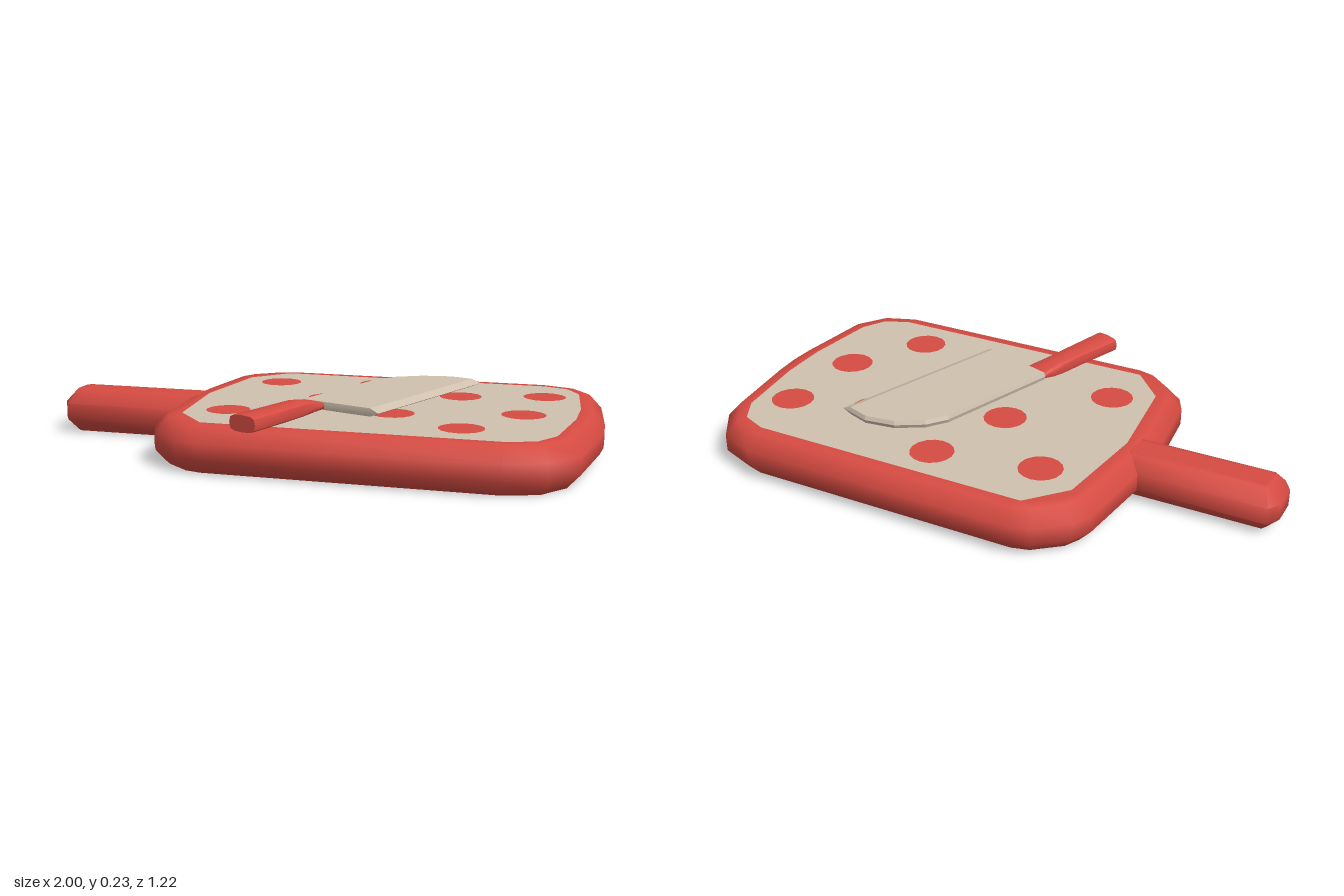
import * as THREE from 'three';
import { toCreasedNormals } from 'three/addons/utils/BufferGeometryUtils.js';

const red = new THREE.MeshStandardMaterial({ name: 'red', color: 0xd64b42 });
const cream = new THREE.MeshStandardMaterial({ name: 'cream', color: 0xd0c1af });

const MID_Z = -0.0425; // the board's own line of symmetry

// Shrinks a convex [x, z] outline, with one amount per edge
function inset(points, amount) {
  const n = points.length;
  const sign = Math.sign(THREE.ShapeUtils.area(points.map(([x, z]) => new THREE.Vector2(x, z))));
  const edges = points.map((p, i) => {
    const q = points[(i + 1) % n];
    const len = Math.hypot(q[0] - p[0], q[1] - p[1]);
    const nx = (-(q[1] - p[1]) / len) * sign;
    const nz = ((q[0] - p[0]) / len) * sign;
    const d = typeof amount === 'number' ? amount : amount[i];
    return { nx, nz, c: nx * p[0] + nz * p[1] + d };
  });
  return points.map((_, i) => {
    const a = edges[(i + n - 1) % n];
    const b = edges[i];
    const det = a.nx * b.nz - a.nz * b.nx;
    return [(a.c * b.nz - b.c * a.nz) / det, (a.nx * b.c - b.nx * a.c) / det];
  });
}

// Joins rings of [x, y, z] points into a closed solid with flat end caps
function loft(rings, crease) {
  const n = rings[0].length;
  const tris = [];
  const quad = (a, b, c, d) => tris.push([a, b, c], [a, c, d]);
  for (let r = 0; r + 1 < rings.length; r++) {
    for (let i = 0; i < n; i++) {
      const j = (i + 1) % n;
      quad(rings[r][i], rings[r][j], rings[r + 1][j], rings[r + 1][i]);
    }
  }
  const last = rings[rings.length - 1];
  for (let i = 1; i + 1 < n; i++) {
    tris.push([rings[0][0], rings[0][i + 1], rings[0][i]]);
    tris.push([last[0], last[i], last[i + 1]]);
  }
  // Turn the solid the right way out if its volume is negative
  let volume = 0;
  for (const t of tris) {
    const [a, b, c] = t.map((p) => new THREE.Vector3(...p));
    volume += a.dot(b.cross(c));
  }
  if (volume < 0) tris.forEach((t) => t.reverse());
  const geometry = new THREE.BufferGeometry();
  geometry.setAttribute('position', new THREE.Float32BufferAttribute(tris.flat(2), 3));
  return toCreasedNormals(geometry, crease);
}

const atHeight = (points, y) => points.map(([x, z]) => [x, y, z]);

// Slab with rounded-over edges; the inner rings keep the large faces flat
function slab(outline, inner) {
  const layers = [
    [inner, 0], [0.045, 0], [0, 0.05], [0, 0.11], [0.045, 0.16], [inner, 0.16],
  ];
  return loft(layers.map(([d, y]) => atHeight(d ? inset(outline, d) : outline, y)), 1.05);
}

// Completes an outline given for the back half by reflecting it to the front
function mirrorZ(half) {
  const front = half.filter(([, z]) => z !== MID_Z).map(([x, z]) => [x, 2 * MID_Z - z]).reverse();
  return [...half, ...front];
}

function plate(points, y) {
  const shape = new THREE.Shape(points.map(([x, z]) => new THREE.Vector2(x, -z)));
  return new THREE.ShapeGeometry(shape).rotateX(-Math.PI / 2).translate(0, y, 0);
}

export function createModel() {
  const model = new THREE.Group();
  model.name = 'cuttingBoardWithKnife';
  const add = (parent, name, geometry, material) => {
    const mesh = new THREE.Mesh(geometry, material);
    mesh.name = name;
    parent.add(mesh);
    return mesh;
  };

  // Board body and its grip
  const board = new THREE.Group();
  board.name = 'board';
  model.add(board);
  const boardOutline = mirrorZ([
    [-0.518, -0.14], [-0.485, -0.44], [-0.45, -0.51], [-0.345, -0.595], [-0.27, -0.615],
    [0.74, -0.615], [0.875, -0.565], [0.96, -0.44], [0.995, -0.14], [1, MID_Z],
  ]);
  add(board, 'boardBody', slab(boardOutline, 0.08), red);
  const gripOutline = mirrorZ([[-1, -0.09], [-0.97, -0.14], [-0.42, -0.14]]);
  add(board, 'boardGrip', slab(gripOutline, 0.06), red);

  // Cutting surface with round spots
  const panelOutline = mirrorZ([
    [-0.437, MID_Z], [-0.397, -0.4], [-0.28, -0.532], [0.74, -0.532],
    [0.83, -0.495], [0.88, -0.405], [0.912, -0.13],
  ]);
  add(board, 'cuttingSurface', plate(panelOutline, 0.162), cream);
  const spots = [
    [-0.25, -0.33], [0.125, -0.4], [0.765, -0.31], [0.015, -0.08], [0.735, 0.03],
    [-0.26, 0.23], [0.57, 0.3], [0.47, -0.235], [0.3, 0.13],
  ];
  for (const [x, z] of spots) {
    add(board, 'spot', new THREE.CircleGeometry(0.077, 16).rotateX(-Math.PI / 2).translate(x, 0.164, z), red);
  }

  // Knife blade, ground to an edge along its straight side
  const knife = new THREE.Group();
  knife.name = 'knife';
  model.add(knife);
  const bladeOutline = [
    [0, 0.21], [0.295, 0.312], [0.525, -0.335], [0.41, -0.375],
    [0.3, -0.36], [0.205, -0.305], [0.155, -0.24],
  ];
  const bladeFace = inset(bladeOutline, [0.002, 0.033, 0.006, 0.006, 0.006, 0.006, 0.004]);
  add(knife, 'blade', loft([
    atHeight(bladeFace, 0.184), atHeight(bladeOutline, 0.198), atHeight(bladeFace, 0.212),
  ], 0.3), cream);

  // Knife handle: rounded sections thinning towards the blade
  const section = ([x, z, halfWidth, halfHeight]) => {
    const ring = [];
    for (let i = 0; i < 12; i++) {
      const a = (i / 12) * Math.PI * 2;
      const c = Math.cos(a);
      const s = Math.sin(a);
      const across = Math.sign(c) * Math.abs(c) ** 0.6 * halfWidth;
      ring.push([x + across * 0.94, 0.198 + Math.sign(s) * Math.abs(s) ** 0.6 * halfHeight, z + across * 0.34]);
    }
    return ring;
  };
  add(knife, 'knifeHandle', loft([
    [-0.08, 0.586, 0.053, 0.028], [-0.02, 0.4, 0.047, 0.028],
    [0.007, 0.31, 0.046, 0.027], [0.025, 0.265, 0.048, 0.022], [0.046, 0.224, 0.048, 0.014],
  ].map(section), 0.8), red);

  return model;
}
